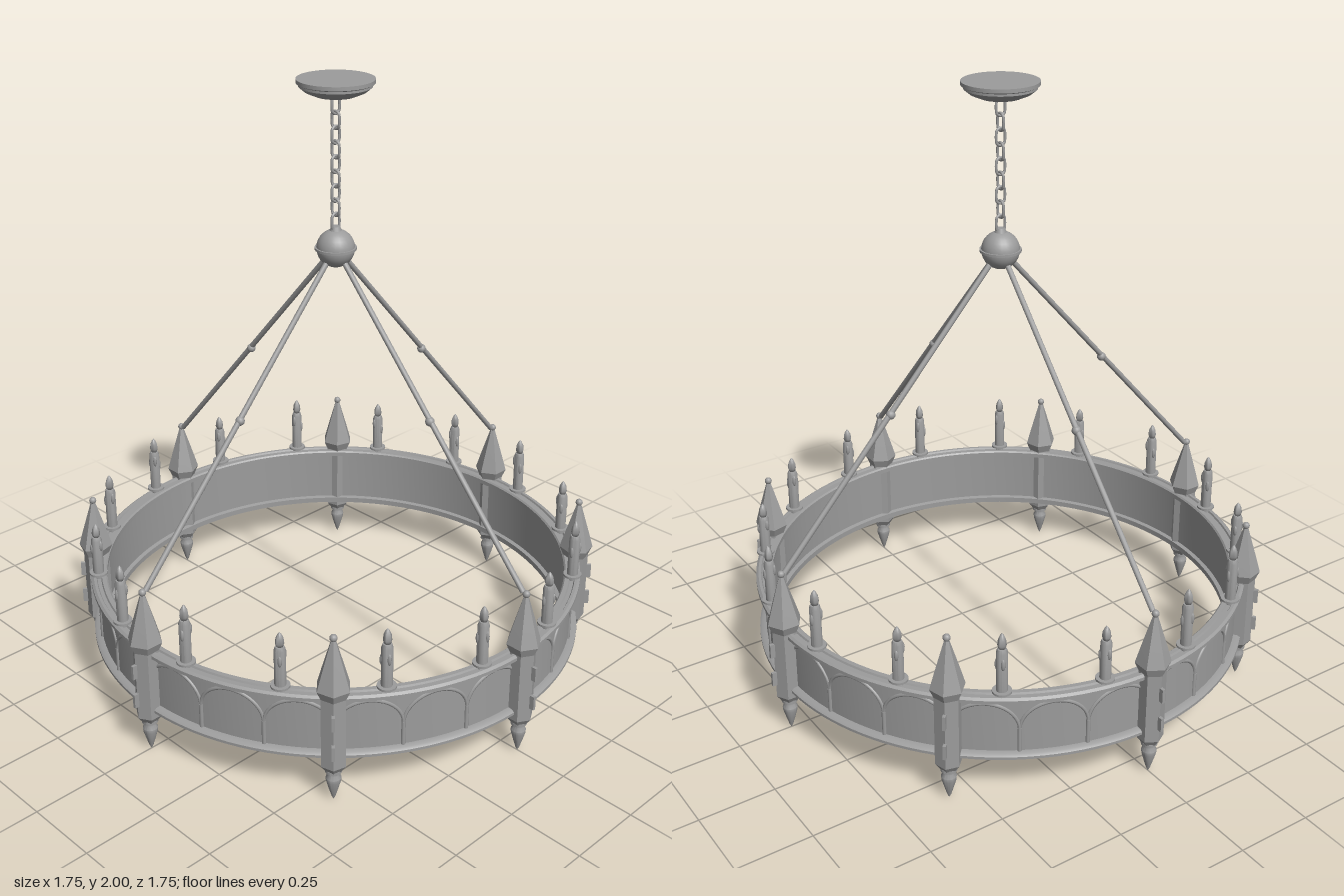
import * as THREE from 'three';
import { toCreasedNormals } from 'three/addons/utils/BufferGeometryUtils.js';

const iron = new THREE.MeshStandardMaterial({ color: 0x9c9c9c });
iron.name = 'grey iron';

function add(parent, name, geometry, x = 0, y = 0, z = 0) {
  const mesh = new THREE.Mesh(geometry, iron);
  mesh.name = name;
  mesh.position.set(x, y, z);
  parent.add(mesh);
  return mesh;
}

// Turned profile of [radius, height] pairs, listed bottom to top
function turned(profile, sides, crease = 0.6) {
  const g = new THREE.LatheGeometry(profile.map(([r, y]) => new THREE.Vector2(r, y)), sides);
  return toCreasedNormals(g, crease);
}

// Curve that runs around the ring: f(t) gives [angle, height]
class RingCurve extends THREE.Curve {
  constructor(radius, f) { super(); this.radius = radius; this.f = f; }
  getPoint(t, target = new THREE.Vector3()) {
    const [a, y] = this.f(t);
    return target.set(this.radius * Math.sin(a), y, this.radius * Math.cos(a));
  }
}

function makeBand() {
  const band = new THREE.Group();
  band.name = 'ringBand';
  // Wall with a moulded rail above and below, as one closed section
  const section = [
    [0.772, 0.152], [0.818, 0.152], [0.826, 0.157], [0.826, 0.166], [0.818, 0.172],
    [0.803, 0.174], [0.803, 0.35], [0.818, 0.352], [0.826, 0.357], [0.826, 0.368],
    [0.818, 0.374], [0.809, 0.374], [0.806, 0.368], [0.794, 0.368], [0.791, 0.374],
    [0.777, 0.374], [0.772, 0.369], [0.772, 0.354], [0.786, 0.351], [0.786, 0.174],
    [0.772, 0.171], [0.772, 0.152],
  ];
  add(band, 'wallAndRails', turned(section, 128));

  // Arcade of 24 arches, three between each pair of posts
  const step = Math.PI / 12;
  const arch = new THREE.TubeGeometry(new RingCurve(0.803, t => {
    const u = -Math.cos(t * Math.PI);
    return [step / 2 * (1 + u), 0.25 + 0.093 * Math.sin(t * Math.PI)];
  }), 20, 0.006, 6);
  for (let i = 0; i < 24; i++) {
    add(band, 'arch', arch).rotation.y = i * step;
    if (i % 3) {
      const a = i * step;
      add(band, 'mullion', new THREE.CylinderGeometry(0.007, 0.007, 0.085, 8),
        0.803 * Math.sin(a), 0.213, 0.803 * Math.cos(a));
    }
  }
  return band;
}

// Six-sided post, with one edge facing outward
const postGeometry = turned([
  [0, 0.108], [0.024, 0.108], [0.043, 0.135], [0.043, 0.375], [0.056, 0.405],
  [0.04, 0.46], [0.008, 0.565], [0, 0.565],
], 6, 0.3);
const dropGeometry = turned([
  [0, 0], [0.006, 0.012], [0.016, 0.045], [0.023, 0.07], [0.024, 0.082],
  [0.018, 0.094], [0.018, 0.1], [0.026, 0.104], [0.026, 0.115], [0, 0.115],
], 16);

function makePost(angle) {
  const post = new THREE.Group();
  post.name = 'post';
  post.position.set(0.817 * Math.sin(angle), 0, 0.817 * Math.cos(angle));
  post.rotation.y = angle;
  add(post, 'postBody', postGeometry);
  add(post, 'postDrop', dropGeometry);
  add(post, 'postBall', new THREE.SphereGeometry(0.012, 12, 8), 0, 0.574);
  for (const y of [0.205, 0.31]) add(post, 'postStud', new THREE.BoxGeometry(0.01, 0.048, 0.03), 0, y, 0.041);
  return post;
}

const candleCup = turned([[0, 0.37], [0.014, 0.37], [0.014, 0.38], [0.03, 0.385], [0.03, 0.392], [0, 0.392]], 20);
const candleBody = turned([[0.018, 0], [0.018, 0.135], [0.014, 0.147], [0, 0.15]], 14);
const flame = turned([[0, 0.142], [0.01, 0.147], [0.014, 0.16], [0.012, 0.178], [0.006, 0.192], [0, 0.2]], 12, 1.2);

function makeCandle(angle) {
  const candle = new THREE.Group();
  candle.name = 'candle';
  candle.position.set(0.8 * Math.sin(angle), 0, 0.8 * Math.cos(angle));
  candle.rotation.y = angle;
  add(candle, 'candleCup', candleCup);
  const stick = new THREE.Group();
  stick.name = 'candleStick';
  stick.position.y = 0.388;
  const x = candle.position.x;
  if (Math.abs(x - 0.156) < 0.02 || Math.abs(Math.abs(x) - 0.665) < 0.02) stick.scale.y = 0.92;
  add(stick, 'candleBody', candleBody);
  add(stick, 'candleFlame', flame);
  // Wax drips
  for (const [a, y] of [[0.2, 0.1], [2.4, 0.115], [4.3, 0.09]]) {
    add(stick, 'waxDrip', new THREE.SphereGeometry(0.007, 8, 6),
      0.016 * Math.sin(a), y, 0.016 * Math.cos(a)).scale.y = 3;
  }
  candle.add(stick);
  return candle;
}

function makeRod(angle) {
  const rod = new THREE.Group();
  rod.name = 'suspensionRod';
  rod.rotation.y = angle;
  const top = new THREE.Vector3(0, 1.44, 0.03);
  const end = new THREE.Vector3(0, 0.575, 0.805);
  const mid = new THREE.Vector3(0, 1.01, 0.411);
  const bar = add(rod, 'rodBar', new THREE.CylinderGeometry(0.009, 0.009, top.distanceTo(end), 10));
  bar.position.copy(top).add(end).multiplyScalar(0.5);
  bar.quaternion.setFromUnitVectors(new THREE.Vector3(0, 1, 0), top.clone().sub(end).normalize());
  add(rod, 'rodBead', new THREE.SphereGeometry(0.015, 12, 8), mid.x, mid.y, mid.z);
  return rod;
}

function makeChain() {
  const chain = new THREE.Group();
  chain.name = 'chain';
  const link = new THREE.TorusGeometry(0.016, 0.0045, 8, 20);
  // Stretch the round link into an oval
  const p = link.attributes.position;
  for (let i = 0; i < p.count; i++) p.setY(i, p.getY(i) + Math.sign(Math.round(p.getY(i) * 1e4)) * 0.011);
  link.computeVertexNormals();
  for (let i = 0; i < 9; i++) {
    add(chain, 'chainLink', link, 0, 1.92 - i * 0.0455).rotation.y = (i % 2) * Math.PI / 2;
  }
  return chain;
}

export function createModel() {
  const model = new THREE.Group();
  model.name = 'chandelier';
  model.add(makeBand());
  for (let i = 0; i < 8; i++) model.add(makePost(i * Math.PI / 4));
  for (let i = 0; i < 16; i++) model.add(makeCandle((i + 0.5) * Math.PI / 8));
  for (let i = 0; i < 4; i++) model.add(makeRod(i * Math.PI / 2));

  // Hub ball with its seam and collar
  add(model, 'hubBall', new THREE.SphereGeometry(0.061, 24, 16), 0, 1.47);
  add(model, 'hubSeam', new THREE.CylinderGeometry(0.066, 0.066, 0.008, 32), 0, 1.47);
  add(model, 'hubCollar', new THREE.CylinderGeometry(0.014, 0.02, 0.016, 16), 0, 1.533);

  model.add(makeChain());

  // Ceiling canopy
  add(model, 'canopy', turned([
    [0, 1.94], [0.03, 1.942], [0.065, 1.95], [0.095, 1.963], [0.112, 1.977],
    [0.112, 1.984], [0.12, 1.988], [0.12, 2], [0, 2],
  ], 48));
  return model;
}
